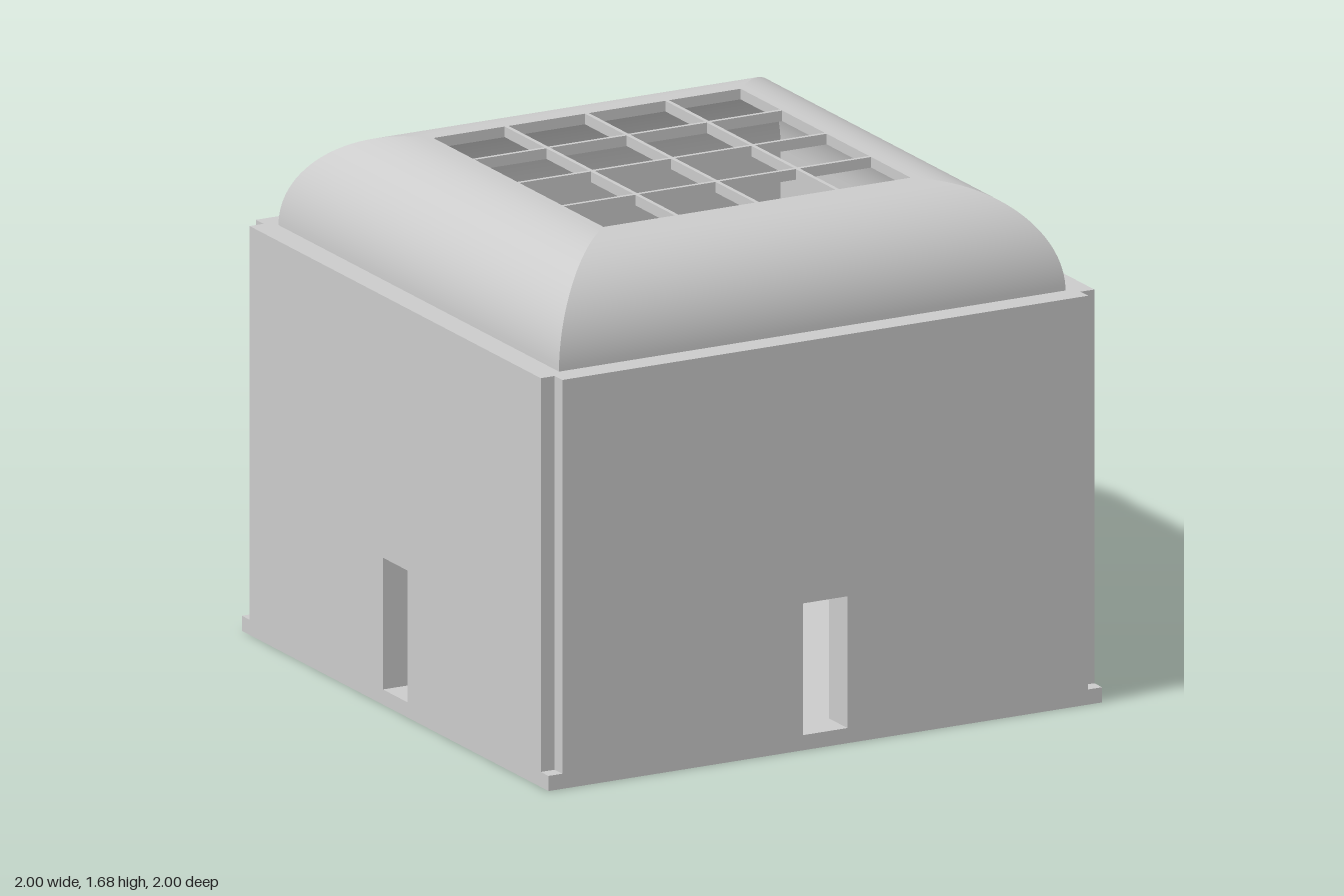
import * as THREE from 'three';

const material = new THREE.MeshStandardMaterial({ color: 0xcccccc });

function addMesh(parent, name, geometry) {
  const mesh = new THREE.Mesh(geometry, material);
  mesh.name = name;
  parent.add(mesh);
  return mesh;
}

const FLOOR = 0.05, WALL_TOP = 1.35, ROOF_TOP = 1.68;
const COVE = 0.33, FLAT = 0.585, OPENING = 0.555, SHELL = 0.035;
const DOOR_HALF = 0.08, DOOR_TOP = 0.485;

// Wall slab with a doorway cut up from the floor, standing between zBack and zFront
function wallSlab(x0, x1, zBack, zFront) {
  const shape = new THREE.Shape([
    [x0, FLOOR], [-DOOR_HALF, FLOOR], [-DOOR_HALF, DOOR_TOP], [DOOR_HALF, DOOR_TOP],
    [DOOR_HALF, FLOOR], [x1, FLOOR], [x1, WALL_TOP], [x0, WALL_TOP],
  ].map(([x, y]) => new THREE.Vector2(x, y)));
  const geometry = new THREE.ExtrudeGeometry(shape, { depth: zFront - zBack, bevelEnabled: false });
  return geometry.translate(0, 0, zBack);
}

// Mitred strip whose half-length equals its distance from the centre
function mitredStrip(profile) {
  const positions = [], index = [];
  profile.forEach(([r, y], i) => {
    positions.push(-r, y, r, r, y, r);
    if (i) {
      const a = 2 * i - 2;
      index.push(a, a + 1, a + 3, a, a + 3, a + 2);
    }
  });
  const geometry = new THREE.BufferGeometry();
  geometry.setAttribute('position', new THREE.Float32BufferAttribute(positions, 3));
  geometry.setIndex(index);
  geometry.computeVertexNormals();
  return geometry;
}

// Quarter arc from the wall top up to the flat rim
function arc(radius, steps = 28) {
  return Array.from({ length: steps + 1 }, (_, i) => {
    const t = (i / steps) * Math.PI / 2;
    return [FLAT + radius * Math.cos(t), WALL_TOP + radius * Math.sin(t)];
  });
}

export function createModel() {
  const model = new THREE.Group();
  model.name = 'skylitRoom';

  // Floor slab
  addMesh(model, 'floor', new THREE.BoxGeometry(2, FLOOR, 2).translate(0, FLOOR / 2, 0));

  // Four identical sides: layered wall and coved roof panel
  const inner = COVE - SHELL, lipBottom = ROOF_TOP - SHELL;
  const outerWall = wallSlab(-0.95, 0.95, 0.95, 1);
  const innerWall = wallSlab(-0.95, 0.88, 0.88, 0.95);
  const roofStrips = {
    coveOuter: arc(COVE),
    rimTop: [[FLAT, ROOF_TOP], [OPENING, ROOF_TOP]],
    rimEdge: [[OPENING, ROOF_TOP], [OPENING, lipBottom]],
    rimUnderside: [[OPENING, lipBottom], [FLAT, lipBottom]],
    coveInner: arc(inner).reverse(),
    coveBase: [[FLAT + inner, WALL_TOP], [FLAT + COVE, WALL_TOP]],
  };
  for (let i = 0; i < 4; i++) {
    const side = new THREE.Group();
    side.name = 'side' + (i + 1);
    side.rotation.y = i * Math.PI / 2;
    addMesh(side, 'outerWall', outerWall);
    addMesh(side, 'innerWall', innerWall);
    for (const [name, profile] of Object.entries(roofStrips)) {
      addMesh(side, name, mitredStrip(profile));
    }
    model.add(side);
  }

  // Skylight grid: three bars each way
  const grid = new THREE.Group();
  grid.name = 'skylightGrid';
  for (const p of [-0.29, 0, 0.29]) {
    const y = ROOF_TOP - SHELL / 2;
    addMesh(grid, 'barAlongZ', new THREE.BoxGeometry(0.014, SHELL, 2 * OPENING)).position.set(p, y, 0);
    addMesh(grid, 'barAlongX', new THREE.BoxGeometry(2 * OPENING, SHELL, 0.014)).position.set(0, y, p);
  }
  model.add(grid);

  return model;
}
